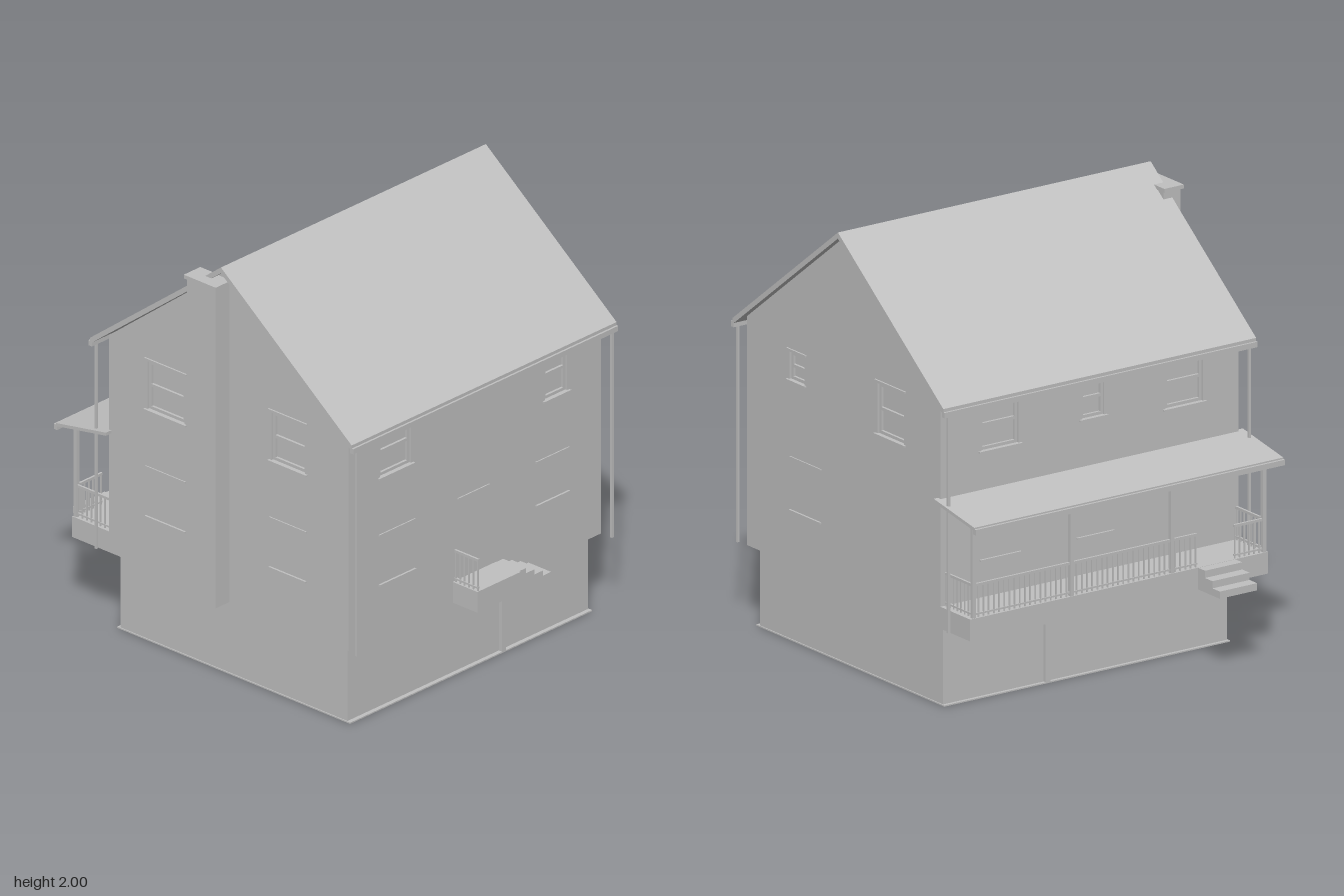
import * as THREE from 'three';

export function createModel() {
  const grey = new THREE.MeshStandardMaterial({ color: 0xc0c0c0 });
  grey.name = 'plain grey';
  const house = new THREE.Group();
  house.name = 'house';

  const add = (parent, name, geometry) => {
    const mesh = new THREE.Mesh(geometry, grey);
    mesh.name = name;
    parent.add(mesh);
    return mesh;
  };
  // Box given by its limits on each axis
  const box = (parent, name, x0, x1, y0, y1, z0, z1) => {
    const mesh = add(parent, name, new THREE.BoxGeometry(x1 - x0, y1 - y0, z1 - z0));
    mesh.position.set((x0 + x1) / 2, (y0 + y1) / 2, (z0 + z1) / 2);
    return mesh;
  };
  const polygon = (points) => new THREE.Shape(points.map(([x, y]) => new THREE.Vector2(x, y)));
  // Outline of [z, y] points, extruded along x
  const alongX = (parent, name, points, x0, x1) => {
    const g = new THREE.ExtrudeGeometry(polygon(points.map(([z, y]) => [-z, y])),
      { depth: x1 - x0, bevelEnabled: false });
    g.rotateY(Math.PI / 2);
    g.translate(x0, 0, 0);
    return add(parent, name, g);
  };

  const L = -0.77, R = 0.83, B = -0.6, F = 0.83; // outer wall faces
  const T = 0.035;                               // wall thickness
  const FLOOR = 0.37, RIDGE = 0.11, EAVE = 1.42, PEAK = 1.972;

  // Basement with footing plate and a centre column on front and back
  box(house, 'basement', -0.735, 0.79, 0, FLOOR, -0.565, 0.79);
  box(house, 'footing', -0.74, 0.795, 0, 0.006, -0.58, 0.81);
  for (const [z0, z1] of [[0.785, 0.81], [-0.58, -0.56]])
    box(house, 'basementColumn', 0.225, 0.25, 0, FLOOR, z0, z1);
  box(house, 'floor', L + 0.002, R - 0.002, FLOOR, FLOOR + 0.03, B + 0.002, F - 0.002);

  // One wall in its own frame (u along the wall, outside at local z = 0):
  // windows are [u0, u1, y0, y1], ground trims are [u0, u1, sillY, headY]
  function wall(name, position, turn, outline, windows, trims) {
    const side = new THREE.Group();
    side.name = name;
    side.position.set(...position);
    side.rotation.y = turn;
    house.add(side);
    const shape = polygon(outline);
    for (const [a, b, c, d] of windows)
      shape.holes.push(new THREE.Path([[a, c], [a, d], [b, d], [b, c]].map((p) => new THREE.Vector2(...p))));
    const g = new THREE.ExtrudeGeometry(shape, { depth: T, bevelEnabled: false });
    g.translate(0, 0, -T);
    add(side, 'wallPanel', g);
    for (const [a, b, c, d] of windows) {
      const mid = (c + d) / 2, s = 0.014;
      box(side, 'windowPane', a, b, c, d, -0.03, -0.022);
      box(side, 'sashRail', a, b, mid - s / 2, mid + s / 2, -0.024, -0.01);
      box(side, 'sashBottom', a, b, c, c + s, -0.024, -0.01);
      box(side, 'sashTop', a, b, d - s, d, -0.024, -0.01);
      box(side, 'sashStile', a, a + s, c, d, -0.024, -0.01);
      box(side, 'sashStile', b - s, b, c, d, -0.024, -0.01);
      box(side, 'windowSill', a - 0.015, b + 0.015, c - 0.008, c, -0.01, 0.012);
      box(side, 'windowHead', a - 0.015, b + 0.015, d + 0.008, d + 0.016, -0.01, 0.008);
    }
    for (const [a, b, sill, head] of trims) {
      if (sill) box(side, 'groundSill', a, b, sill - 0.004, sill + 0.004, -0.01, 0.01);
      box(side, 'groundHead', a, b, head - 0.004, head + 0.004, -0.01, 0.006);
    }
  }
  const flat = (a, b) => [[a, FLOOR], [b, FLOOR], [b, EAVE], [a, EAVE]];
  const gable = (a, b, peak) => [[a, FLOOR], [b, FLOOR], [b, EAVE], [peak, PEAK], [a, EAVE]];

  wall('frontWall', [0, 0, F], 0, flat(L + T, R - T),
    [[-0.57, -0.375, 1.14, 1.37], [0.475, 0.615, 1.14, 1.37]],
    [[-0.58, -0.35, 0.62, 0.86], [0.415, 0.625, 0.65, 0.86], [-0.08, 0.12, 0, 0.86]]);
  wall('backWall', [0, 0, B], Math.PI, flat(-R + T, -L - T),
    [[-0.61, -0.41, 1.14, 1.37], [-0.07, 0.05, 1.18, 1.36], [0.38, 0.58, 1.14, 1.37]],
    [[-0.62, -0.4, 0.64, 0.86], [-0.1, 0.1, 0.64, 0.86], [0.38, 0.6, 0, 0.86]]);
  wall('leftWall', [R, 0, 0], Math.PI / 2, gable(-F, -B, -RIDGE),
    [[-0.515, -0.405, 1.215, 1.34], [0.135, 0.33, 1.14, 1.37]],
    [[-0.51, -0.28, 0.617, 0.86]]);
  wall('rightWall', [L, 0, 0], -Math.PI / 2, gable(B, F, RIDGE),
    [[-0.37, -0.15, 1.14, 1.37], [0.37, 0.57, 1.14, 1.37]],
    [[-0.38, -0.14, 0.62, 0.86], [0.36, 0.58, 0.62, 0.86]]);

  // Gable roof, gutters and corner downpipes
  alongX(house, 'mainRoof', [[0.89, 1.4], [RIDGE, 2], [-0.67, 1.4],
    [-0.67, 1.372], [RIDGE, 1.972], [0.89, 1.372]], -0.815, 0.865);
  for (const [z0, z1, pipe] of [[0.88, 0.9, 0.89], [-0.68, -0.66, -0.667]]) {
    box(house, 'gutter', -0.815, 0.865, 1.36, 1.385, z0, z1);
    for (const x of [-0.78, 0.836])
      box(house, 'downpipe', x - 0.006, x + 0.006, FLOOR, 1.365, pipe - 0.006, pipe + 0.006);
  }

  // Chimney
  box(house, 'chimney', -0.86, -0.768, FLOOR, 1.912, -0.05, 0.12);
  box(house, 'chimneyCap', -0.87, -0.765, 1.91, 1.928, -0.06, 0.13);

  // Railing between two floor points, with evenly spaced balusters
  function railing(parent, x0, z0, x1, z1, y, height) {
    const r = 0.005;
    const ax = Math.min(x0, x1) - r, bx = Math.max(x0, x1) + r;
    const az = Math.min(z0, z1) - r, bz = Math.max(z0, z1) + r;
    box(parent, 'handrail', ax, bx, y + height - 0.012, y + height, az, bz);
    box(parent, 'bottomRail', ax, bx, y + 0.012, y + 0.02, az, bz);
    const n = Math.max(1, Math.round(Math.hypot(x1 - x0, z1 - z0) / 0.028));
    for (let i = 0; i <= n; i++) {
      const x = x0 + (x1 - x0) * i / n, z = z0 + (z1 - z0) * i / n;
      box(parent, 'baluster', x - 0.003, x + 0.003, y, y + height - 0.01, z - 0.003, z + 0.003);
    }
  }

  // Back porch: deck, posts, railings, lean-to roof and steps
  const porch = new THREE.Group();
  porch.name = 'backPorch';
  house.add(porch);
  const DECK = 0.47;
  box(porch, 'deck', L, R, FLOOR, DECK, -0.82, B);
  for (const x of [-0.755, -0.26, 0.28, 0.805])
    box(porch, 'porchPost', x - 0.009, x + 0.009, DECK, 0.915, -0.817, -0.799);
  railing(porch, 0.805, -0.808, -0.39, -0.808, DECK, 0.155);
  railing(porch, -0.6, -0.808, -0.755, -0.808, DECK, 0.155);
  for (const x of [-0.755, 0.805]) railing(porch, x, -0.61, x, -0.8, DECK, 0.155);
  alongX(porch, 'porchRoof', [[-0.585, 0.965], [-0.885, 0.912], [-0.885, 0.897], [-0.585, 0.95]], -0.805, 0.855);
  box(porch, 'porchGutter', -0.805, 0.855, 0.88, 0.905, -0.897, -0.877);
  alongX(porch, 'porchSteps', [[-0.81, FLOOR], [-0.81, 0.469], [-0.87, 0.469], [-0.87, 0.436],
    [-0.925, 0.436], [-0.925, 0.403], [-0.98, 0.403], [-0.98, FLOOR]], -0.595, -0.395);

  // Front stoop: landing, steps to the side and a railing
  const stoop = new THREE.Group();
  stoop.name = 'frontStoop';
  house.add(stoop);
  box(stoop, 'landing', -0.11, 0.165, FLOOR, DECK, F, 0.977);
  [0.21, 0.265, 0.32, 0.37].forEach((x, i) =>
    box(stoop, 'stoopStep', 0.165, x, FLOOR, 0.468 - i * 0.025, F, 0.965));
  railing(stoop, -0.1, 0.84, -0.1, 0.97, DECK, 0.155);

  return house;
}
